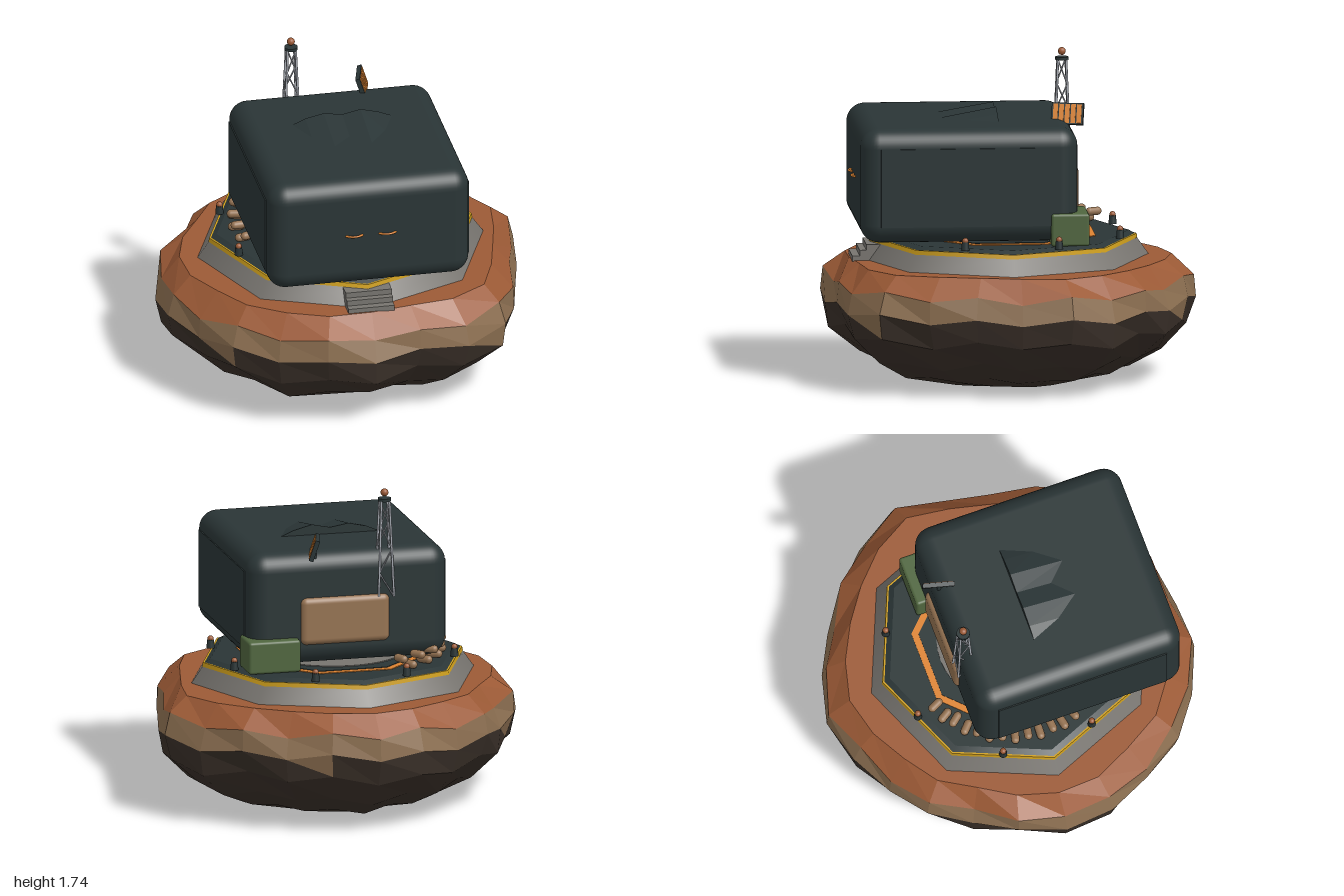
import * as THREE from 'three';
import { RoundedBoxGeometry } from 'three/addons/geometries/RoundedBoxGeometry.js';

const mat = (name, color) => {
  const m = new THREE.MeshStandardMaterial({ color });
  m.name = name;
  return m;
};
const M = {
  slate: mat('slate', 0x2a3536),
  terracotta: mat('terracotta', 0x9c5a36),
  tanRock: mat('tan rock', 0x8c6f51),
  darkRock: mat('dark rock', 0x3a3029),
  concrete: mat('concrete', 0x787570),
  yellow: mat('yellow', 0xd0a01c),
  orange: mat('orange', 0xde8432),
  green: mat('green', 0x50663f),
  canvas: mat('canvas', 0x967352),
  metal: mat('metal', 0xa9adb5),
};
const PAD_Z = 0.03;

function add(parent, name, geometry, material, x = 0, y = 0, z = 0) {
  const mesh = new THREE.Mesh(geometry, material);
  mesh.name = name;
  mesh.position.set(x, y, z);
  parent.add(mesh);
  return mesh;
}

function fromTriangles(tris) {
  const g = new THREE.BufferGeometry();
  g.setAttribute('position', new THREE.Float32BufferAttribute(tris.flat().flat(), 3));
  g.computeVertexNormals();
  return g;
}

// Thin rod between two points
function rod(parent, name, a, b, radius, material) {
  const d = b.clone().sub(a);
  const mesh = add(parent, name, new THREE.CylinderGeometry(radius, radius, d.length(), 16), material);
  mesh.position.copy(a).add(b).multiplyScalar(0.5);
  mesh.quaternion.setFromUnitVectors(new THREE.Vector3(0, 1, 0), d.normalize());
}

// Faceted boulder, layered by height into three rock colours
function buildRock(root) {
  const outline = [0.965, 0.94, 0.98, 1.06, 1.04, 0.97, 0.98, 1.02, 1.02, 1.03, 1.0, 1.02,
    1.0, 0.96, 0.92, 0.95, 0.94, 0.97, 1.0, 0.97, 0.95, 0.96, 1.0, 1.035];
  const rings = [[0, 0.65, 0], [0.87, 0.65, 0], [0.975, 0.545, 0.025], [1, 0.43, 0.025],
    [0.965, 0.3, 0.03], [0.82, 0.16, 0.025], [0.63, 0.06, 0.015], [0.4, 0, 0], [0, 0, 0]];
  const n = outline.length;
  const point = (i, j) => {
    const k = i % n, [scale, y, wobble] = rings[j];
    const t = (k / n) * Math.PI * 2;
    const r = outline[k] * scale * (wobble && j !== 3 ? 1 + 0.02 * Math.sin(k * 2.3 + j * 1.7) : 1);
    const dy = wobble * (k % 2 ? 1 : -1) * (0.7 + 0.3 * Math.sin(k * 1.9 + j));
    return [r * Math.cos(t), y + dy, r * Math.sin(t)];
  };
  const layers = { terracotta: [], tanRock: [], darkRock: [] };
  const put = (...tri) => {
    const y = (tri[0][1] + tri[1][1] + tri[2][1]) / 3;
    layers[y > 0.522 ? 'terracotta' : y > 0.395 ? 'tanRock' : 'darkRock'].push(tri);
  };
  for (let j = 0; j < rings.length - 1; j++) {
    for (let i = 0; i < n; i++) {
      const a = point(i, j), b = point(i + 1, j), c = point(i, j + 1), d = point(i + 1, j + 1);
      if (rings[j][0]) put(a, b, c);
      if (rings[j + 1][0]) put(b, d, c);
    }
  }
  const rock = new THREE.Group();
  rock.name = 'rock';
  for (const key in layers) add(rock, key + 'Layer', fromTriangles(layers[key]), M[key]);
  root.add(rock);
}

// Octagonal landing platform with steps, ring and beacons
function buildPlatform(root) {
  const pad = new THREE.Group();
  pad.name = 'platform';
  pad.position.z = PAD_Z;
  root.add(pad);
  const slab = (name, top, bottom, y0, y1, material) =>
    add(pad, name, new THREE.CylinderGeometry(top, bottom, y1 - y0, 8), material, 0, (y0 + y1) / 2);
  slab('foundation', 0.715, 0.78, 0.645, 0.737, M.concrete);
  slab('hazardBand', 0.713, 0.717, 0.737, 0.76, M.yellow);
  slab('deck', 0.672, 0.703, 0.76, 0.778, M.slate);
  slab('orangeRing', 0.518, 0.518, 0.77, 0.782, M.orange).rotation.y = Math.PI / 8;
  slab('ringInset', 0.48, 0.48, 0.77, 0.785, M.slate).rotation.y = Math.PI / 8;
  add(pad, 'centreDisc', new THREE.CylinderGeometry(0.385, 0.385, 0.02, 40), M.concrete, 0, 0.78);

  for (let i = 0; i < 8; i++) {
    const t = (i + 0.5) * Math.PI / 4;
    const x = 0.655 * Math.cos(t), z = 0.655 * Math.sin(t);
    add(pad, 'beaconPost', new THREE.CylinderGeometry(0.018, 0.022, 0.045, 14), M.slate, x, 0.795, z);
    add(pad, 'beaconLamp', new THREE.SphereGeometry(0.017, 14, 10), M.terracotta, x, 0.823, z);
  }
  [[0.675, 0.845], [0.705, 0.805], [0.735, 0.77]].forEach(([top, front]) =>
    add(root, 'step', new THREE.BoxGeometry(0.25, top - 0.645, front - 0.68), M.concrete,
      0, (top + 0.645) / 2, (front + 0.68) / 2));
}

// Rounded main building with side plates, roof wedge and front trim
function buildBuilding(root) {
  const b = new THREE.Group();
  b.name = 'building';
  root.add(b);
  add(b, 'hull', new RoundedBoxGeometry(1.095, 0.612, 1.16, 5, 0.1), M.slate, 0, 1.104, 0.25);
  for (const s of [-1, 1]) {
    add(b, 'sidePanel', new THREE.BoxGeometry(0.02, 0.42, 0.95), M.slate, s * 0.544, 1.1, 0.25);
    const trim = add(b, 'frontTrim', new THREE.TorusGeometry(0.062, 0.006, 14, 40), M.orange, s * 0.09, 1.104, 0.784);
    trim.rotation.x = Math.PI / 2;
  }
  add(b, 'rearPanel', new RoundedBoxGeometry(0.49, 0.26, 0.1, 5, 0.035), M.canvas, 0.025, 1.04, -0.303);

  // Twin-lobed roof wedge: x, ridge height, front reach
  const wedge = [[-0.27, 1.41, 0.075], [-0.2, 1.44, 0.24], [-0.1, 1.462, 0.37], [0, 1.445, 0.27],
    [0.1, 1.466, 0.37], [0.2, 1.44, 0.24], [0.27, 1.41, 0.075]];
  const back = ([x, y]) => [x, y, 0.075], front = ([x, , z]) => [x, 1.411, z], base = ([x]) => [x, 1.4, 0.075];
  const tris = [];
  for (let i = 0; i < wedge.length - 1; i++) {
    const [p, q] = [wedge[i], wedge[i + 1]];
    tris.push([back(p), front(p), front(q)], [back(p), front(q), back(q)],
      [back(p), back(q), base(p)], [back(q), base(q), base(p)]);
  }
  add(b, 'roofWedge', fromTriangles(tris), M.slate);
}

// Lattice mast with a cap and a ball light
function buildMast(root) {
  const mast = new THREE.Group();
  mast.name = 'mast';
  mast.position.set(-0.2, 0, -0.3);
  root.add(mast);
  const y0 = 1.15, y1 = 1.67, levels = 4;
  const corner = (k, level) => {
    const f = level / levels, h = 0.042 - 0.02 * f, t = (k + 0.5) * Math.PI / 2;
    return new THREE.Vector3(Math.SQRT2 * h * Math.cos(t), y0 + (y1 - y0) * f, Math.SQRT2 * h * Math.sin(t));
  };
  for (let k = 0; k < 4; k++) {
    rod(mast, 'mastLeg', corner(k, 0), corner(k, levels), 0.006, M.metal);
    for (let l = 0; l < levels; l++) {
      const flip = (k + l) % 2;
      rod(mast, 'mastBrace', corner(k + flip, l), corner(k + 1 - flip, l + 1), 0.004, M.metal);
    }
  }
  add(mast, 'mastCap', new THREE.CylinderGeometry(0.036, 0.036, 0.016, 16), M.slate, 0, 1.676);
  add(mast, 'mastLight', new THREE.SphereGeometry(0.021, 16, 12), M.terracotta, 0, 1.714);
}

// Tilted panel with orange cells
function buildSolarPanel(root) {
  const panel = new THREE.Group();
  panel.name = 'solarPanel';
  panel.position.set(0.185, 1.435, -0.3);
  panel.rotation.set(0, -0.26, 0.32, 'YXZ');
  root.add(panel);
  add(panel, 'panelFrame', new THREE.BoxGeometry(0.024, 0.116, 0.172), M.slate);
  for (let i = 0; i < 5; i++) {
    add(panel, 'panelCell', new THREE.BoxGeometry(0.006, 0.102, 0.025), M.orange, 0.012, 0, -0.064 + i * 0.032);
  }
  rod(root, 'panelPost', new THREE.Vector3(0.185, 1.3, -0.29), new THREE.Vector3(0.185, 1.43, -0.3), 0.012, M.slate);
}

// Crate and a curved wall of sandbags at alternating heights
function buildSupplies(root) {
  add(root, 'crate', new RoundedBoxGeometry(0.285, 0.175, 0.205, 3, 0.015), M.green, 0.424, 0.867, -0.285);
  const bags = new THREE.Group();
  bags.name = 'sandbags';
  root.add(bags);
  for (let i = 0; i < 13; i++) {
    const t = THREE.MathUtils.degToRad(116 + i * 6.8);
    const bag = add(bags, 'sandbag', new THREE.CapsuleGeometry(0.022, 0.048, 6, 14), M.canvas,
      0.56 * Math.cos(t), i % 2 ? 0.801 : 0.842, PAD_Z - 0.56 * Math.sin(t));
    bag.rotation.set(0, t, Math.PI / 2, 'YXZ');
  }
}

export function createModel() {
  const root = new THREE.Group();
  root.name = 'rockOutpost';
  buildRock(root);
  buildPlatform(root);
  buildBuilding(root);
  buildMast(root);
  buildSolarPanel(root);
  buildSupplies(root);
  return root;
}
